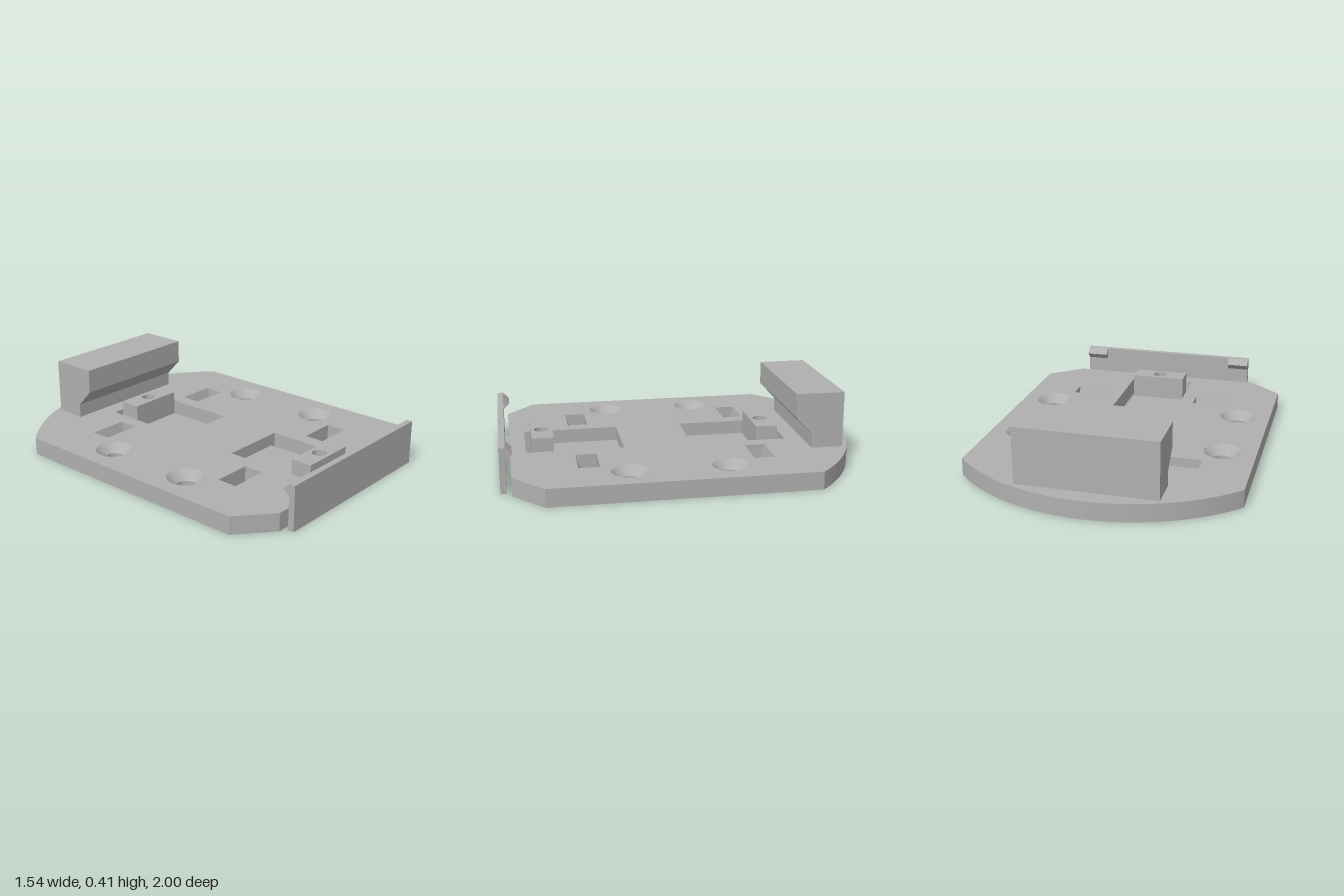
import * as THREE from 'three';
import { toCreasedNormals } from 'three/addons/utils/BufferGeometryUtils.js';

const grey = new THREE.MeshStandardMaterial({ color: 0xb0b0b0 });
grey.name = 'grey plastic';

const T = 0.1; // plate thickness

export function createModel() {
  const model = new THREE.Group();
  model.name = 'mountingPlate';

  const add = (name, geometry) => {
    const mesh = new THREE.Mesh(toCreasedNormals(geometry, 0.5), grey);
    mesh.name = name;
    model.add(mesh);
    return mesh;
  };
  // plan shapes use (x, -z)
  const polygon = (points) => new THREE.Shape(points.map(([x, z]) => new THREE.Vector2(x, -z)));
  const rect = (x0, x1, z0, z1) => polygon([[x0, z1], [x1, z1], [x1, z0], [x0, z0]]);
  const circle = (x, z, r) => new THREE.Path().absarc(x, -z, r, 0, Math.PI * 2, false);
  const slab = (shape, y0, y1) =>
    new THREE.ExtrudeGeometry(shape, { depth: y1 - y0, bevelEnabled: false, curveSegments: 40 })
      .rotateX(-Math.PI / 2).translate(0, y0, 0);
  // side profile of [z, y] points swept from x0 to x1
  const sweep = (points, x0, x1) =>
    new THREE.ExtrudeGeometry(
      new THREE.Shape(points.map(([z, y]) => new THREE.Vector2(-z, y))),
      { depth: x1 - x0, bevelEnabled: false }
    ).rotateY(Math.PI / 2).translate(x0, 0, 0);

  // base plate outline: straight sides, chamfered front with a neck, arched back
  const outline = polygon([
    [-0.77, -0.67], [-0.77, 0.78], [-0.58, 0.942], [-0.125, 0.942], [-0.125, 0.966],
    [0.125, 0.966], [0.125, 0.942], [0.58, 0.942], [0.77, 0.78], [0.77, -0.67],
  ]);
  const a = Math.atan2(0.733, 0.77);
  outline.absarc(0, -0.063, 1.063, a, Math.PI - a, false);

  // screw holes: countersunk above, shallow counterbore below
  const screwProfile = [[0.104, T], [0.055, 0.05], [0.055, 0.03], [0.104, 0.03]]
    .map(([r, y]) => new THREE.Vector2(r, y));
  for (const x of [-0.58, 0.58]) {
    for (const z of [-0.217, 0.325]) {
      outline.holes.push(circle(x, z, 0.104));
      add('screwSeat', new THREE.LatheGeometry(screwProfile, 40)).position.set(x, 0, z);
    }
  }

  // strap slots with a ramp on the outer edge
  for (const x0 of [-0.495, 0.275]) {
    for (const [outer, inner, ramp] of [[-0.48, -0.365, -0.45], [0.59, 0.475, 0.56]]) {
      const x1 = x0 + 0.22;
      outline.holes.push(rect(x0, x1, Math.min(outer, inner), Math.max(outer, inner)));
      add('slotRamp', sweep([[outer, 0], [outer, T], [ramp, 0]], x0, x1));
    }
  }

  // spring tongues, each with a raised drilled block at the free end
  for (const [root, windowEnd, tip, block, hole] of [
    [-0.075, -0.62, -0.585, -0.46, -0.523],
    [0.31, 0.855, 0.82, 0.698, 0.76],
  ]) {
    const span = (w, p, q) => rect(-w, w, Math.min(p, q), Math.max(p, q));
    outline.holes.push(span(0.193, root, windowEnd));
    const tongue = span(0.162, root, tip);
    const raised = span(0.162, block, tip);
    tongue.holes.push(circle(0, hole, 0.04));
    raised.holes.push(circle(0, hole, 0.04));
    add('tongue', slab(tongue, 0, 0.03));
    add('tongueBlock', slab(raised, 0.03, 0.17));
  }
  add('basePlate', slab(outline, 0, T));

  // overhanging stop at the back
  add('backStop', sweep([
    [-0.9, T], [-0.9, 0.415], [-0.627, 0.415], [-0.627, 0.28], [-0.722, 0.18], [-0.722, T],
  ], -0.385, 0.385));

  // clip wall at the front with a hook at each end
  add('clipWall', sweep([[0.966, 0], [0.966, 0.25], [1, 0.25], [1, 0]], -0.543, 0.543));
  for (const x0 of [-0.543, 0.415]) {
    add('clipHook', sweep([[0.966, 0.18], [0.932, 0.215], [0.966, 0.25]], x0, x0 + 0.128));
  }
  return model;
}
